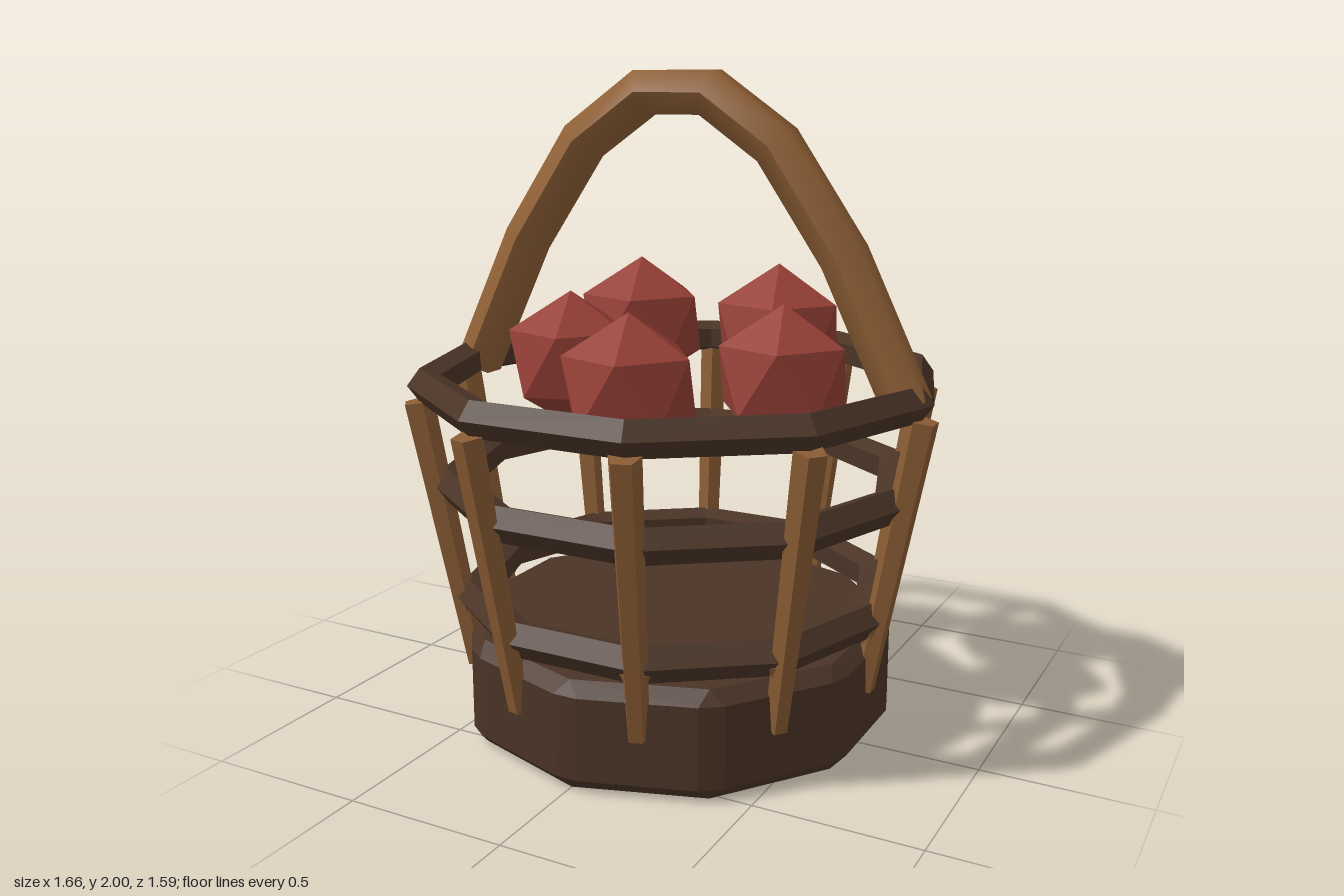
import * as THREE from 'three';
import { ConvexGeometry } from 'three/addons/geometries/ConvexGeometry.js';

const SIDES = 10;
const STEP = (Math.PI * 2) / SIDES;

const darkWood = new THREE.MeshStandardMaterial({ color: 0x4a3426, flatShading: true });
const lightWood = new THREE.MeshStandardMaterial({ color: 0x8a5c34, flatShading: true });
const handleWood = new THREE.MeshStandardMaterial({ color: 0x8f6036 });
const fruitRed = new THREE.MeshStandardMaterial({ color: 0x963f36, flatShading: true });

function part(name, geometry, material) {
  const mesh = new THREE.Mesh(geometry, material);
  mesh.name = name;
  return mesh;
}

// Solid ten-sided base with every edge bevelled
function baseGeometry(apothem, height, bevel) {
  const points = [];
  const half = apothem * Math.tan(STEP / 2) - bevel;
  const capRadius = (apothem - bevel) / Math.cos(STEP / 2);
  for (let i = 0; i < SIDES; i++) {
    const a = i * STEP;
    const c = Math.cos(a), s = Math.sin(a);
    for (const y of [bevel, height - bevel]) {
      for (const w of [-half, half]) {
        points.push(new THREE.Vector3(apothem * c - w * s, y, apothem * s + w * c));
      }
    }
    for (const y of [0, height]) {
      points.push(new THREE.Vector3(capRadius * Math.cos(a + STEP / 2), y, capRadius * Math.sin(a + STEP / 2)));
    }
  }
  return new ConvexGeometry(points);
}

// Six-sided bar swept along a polyline in the xy plane with mitred joints
function sweptBar(path, radius) {
  const rows = path.length - 1;
  const geometry = new THREE.CylinderGeometry(radius, radius, 1, 6, rows, true);
  const pos = geometry.attributes.position;
  const dir = (i) => path[i + 1].clone().sub(path[i]).normalize();
  for (let v = 0; v < pos.count; v++) {
    const i = Math.round((0.5 - pos.getY(v)) * rows);
    const before = dir(Math.max(i - 1, 0));
    const after = dir(Math.min(i, rows - 1));
    const tangent = before.clone().add(after).normalize();
    const offset = pos.getX(v) / tangent.dot(after);
    pos.setXYZ(v, path[i].x + tangent.y * offset, path[i].y - tangent.x * offset, pos.getZ(v));
  }
  return geometry;
}

export function createModel() {
  const model = new THREE.Group();
  model.name = 'fruitBasket';

  model.add(part('base', baseGeometry(0.652, 0.33, 0.04), darkWood));

  // Hoops: [height, radius]
  for (const [y, r] of [[0.405, 0.645], [0.765, 0.7], [1.075, 0.765]]) {
    const hoop = part('hoop', new THREE.TorusGeometry(r, 0.056, 5, SIDES).rotateX(-Math.PI / 2), darkWood);
    hoop.position.y = y;
    model.add(hoop);
  }

  // Leaning ribs, each with a small peg behind it at the base
  const lean = Math.atan2(0.153, 0.85);
  const ribGeometry = new THREE.CylinderGeometry(0.048, 0.034, 0.86, 5)
    .rotateY(-Math.PI / 2)
    .rotateZ(-lean)
    .translate(0.7135, 0.605, 0);
  const pegGeometry = new THREE.ConeGeometry(0.048, 0.11, 5)
    .rotateX(Math.PI)
    .rotateY(-Math.PI / 2)
    .translate(0.655, 0.33, 0);
  for (let i = 0; i < SIDES; i++) {
    const stave = new THREE.Group();
    stave.name = 'stave';
    stave.add(part('rib', ribGeometry, lightWood), part('peg', pegGeometry, lightWood));
    stave.rotation.y = i * STEP;
    model.add(stave);
  }

  // Arched handle, mirrored from one half
  const halfArch = [[0.745, 1.06], [0.54, 1.48], [0.325, 1.79], [0.11, 1.937]];
  const path = [
    ...halfArch.map(([x, y]) => new THREE.Vector3(-x, y, 0)),
    ...halfArch.reverse().map(([x, y]) => new THREE.Vector3(x, y, 0)),
  ].reverse();
  const handleGeometry = sweptBar(path, 0.074);
  // Keep the outside of the bar facing outward along the whole arch
  handleGeometry.computeVertexNormals();
  const handle = part('handle', handleGeometry, handleWood);
  handle.material.side = THREE.DoubleSide;
  model.add(handle);

  // Faceted fruit standing on a corner
  const fruitGeometry = new THREE.IcosahedronGeometry(0.217, 0)
    .rotateX(-Math.atan2((1 + Math.sqrt(5)) / 2, 1))
    .rotateY(Math.PI / 2);
  const spots = [
    [-0.26, 1.195, -0.245], [0.215, 1.195, -0.28], [0.03, 1.115, 0.35],
    [-0.345, 1.115, 0.06], [0.355, 1.115, 0],
  ];
  for (const spot of spots) {
    const fruit = part('fruit', fruitGeometry, fruitRed);
    fruit.position.set(...spot);
    model.add(fruit);
  }

  return model;
}
